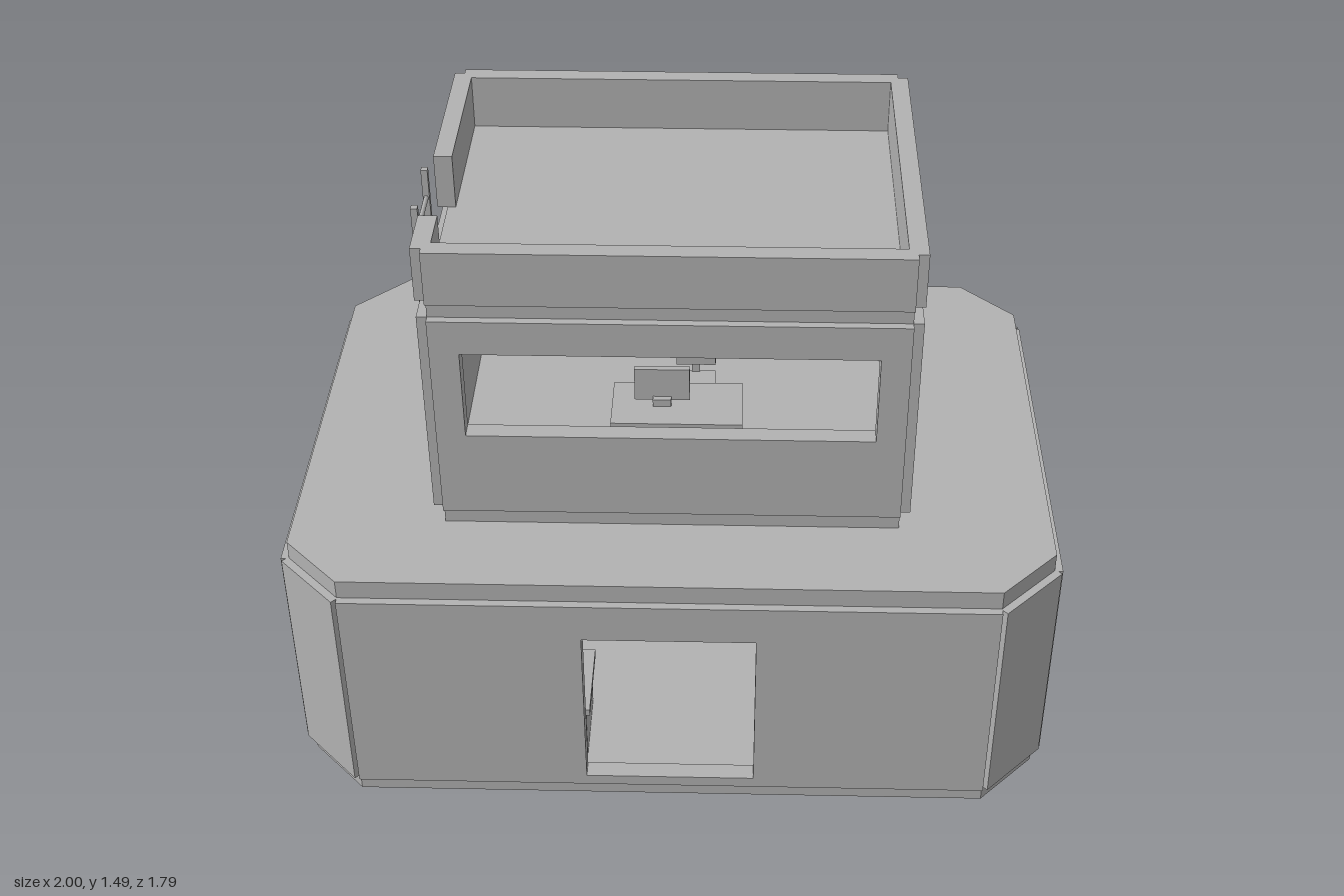
import * as THREE from 'three';

export function createModel() {
  const model = new THREE.Group();
  const concrete = new THREE.MeshStandardMaterial({ color: 0xb2b2b2 });
  concrete.name = 'concrete grey';

  const add = (name, geo, parent = model) => {
    const m = new THREE.Mesh(geo, concrete);
    m.name = name;
    parent.add(m);
    return m;
  };
  const group = (name) => {
    const g = new THREE.Group();
    g.name = name;
    model.add(g);
    return g;
  };
  // Box given by its min and max along each axis
  const box = (name, x0, x1, y0, y1, z0, z1, parent) => {
    const m = add(name, new THREE.BoxGeometry(x1 - x0, y1 - y0, z1 - z0), parent);
    m.position.set((x0 + x1) / 2, (y0 + y1) / 2, (z0 + z1) / 2);
    return m;
  };
  // Round bar between two points
  const bar = (name, a, b, r, parent) => {
    const p = new THREE.Vector3(...a), q = new THREE.Vector3(...b);
    const m = add(name, new THREE.CylinderGeometry(r, r, p.distanceTo(q), 8), parent);
    m.position.copy(p).add(q).multiplyScalar(0.5);
    m.quaternion.setFromUnitVectors(new THREE.Vector3(0, 1, 0), q.sub(p).normalize());
  };
  // Wall panel: outer face centred on (x, z) and turned by angle; hole = [u0, u1, y0, y1]
  const T = 0.045;
  const wall = (name, len, y0, y1, x, z, angle, hole) => {
    const rect = (P, a, b, c, d) => {
      const s = new P();
      s.moveTo(a, c); s.lineTo(b, c); s.lineTo(b, d); s.lineTo(a, d); s.closePath();
      return s;
    };
    const shape = rect(THREE.Shape, -len / 2, len / 2, y0, y1);
    if (hole) shape.holes.push(rect(THREE.Path, ...hole));
    const geo = new THREE.ExtrudeGeometry(shape, { depth: T, bevelEnabled: false });
    geo.translate(0, 0, -T);
    const m = add(name, geo);
    m.position.set(x, 0, z);
    m.rotation.y = angle;
  };
  const cx = -0.05, cz = 0.2175, H = Math.PI / 2;

  // Octagonal floor and roof slabs of the lower storey
  const hx = 0.93, hz = 0.6525, c = 0.14;
  const octagon = new THREE.Shape([
    [-hx + c, -hz], [hx - c, -hz], [hx, -hz + c], [hx, hz - c],
    [hx - c, hz], [-hx + c, hz], [-hx, hz - c], [-hx, -hz + c],
  ].map(([x, z]) => new THREE.Vector2(x, z)));
  for (const [name, y] of [['lowerFloor', 0], ['lowerRoof', 0.65]]) {
    const geo = new THREE.ExtrudeGeometry(octagon, { depth: 0.05, bevelEnabled: false });
    geo.rotateX(-H);
    add(name, geo).position.set(cx, y, cz);
  }

  // Lower walls with doors front and back, long windows on the sides
  const lowDoor = [-0.21, 0.21, 0.08, 0.545], lowWindow = [-0.44, 0.44, 0.28, 0.515];
  wall('lowerFrontWall', 1.58, 0.05, 0.65, cx, cz + hz + 0.02, 0, lowDoor);
  wall('lowerBackWall', 1.58, 0.05, 0.65, cx, cz - hz - 0.02, Math.PI, lowDoor);
  wall('lowerLeftWall', 1.03, 0.05, 0.65, cx + hx + 0.02, cz, H, lowWindow);
  wall('lowerRightWall', 1.03, 0.05, 0.65, cx - hx - 0.02, cz, -H, lowWindow);
  for (const sx of [-1, 1]) for (const sz of [-1, 1]) {
    const out = 0.02 * Math.SQRT1_2;
    wall('cornerWall', 0.205, 0.05, 0.65,
      cx + sx * (hx - c / 2 + out), cz + sz * (hz - c / 2 + out), Math.atan2(sx, sz));
  }

  // Inner partition with a doorway
  for (const [z0, z1] of [[-0.41, 0.01], [0.43, 0.845]])
    box('partition', -0.65, -0.6, 0.05, 0.65, z0, z1);
  box('partitionLintel', -0.65, -0.6, 0.545, 0.65, 0.01, 0.43);

  // Upper storey: recessed slabs and panelled walls
  const ux = 0.555, uz = 0.42, uc = 0.22;
  box('upperFloor', cx - ux, cx + ux, 0.7, 0.75, uc - uz, uc + uz);
  box('upperRoof', cx - ux, cx + ux, 1.305, 1.35, uc - uz, uc + uz);
  const fz = uc + uz + 0.02, bz = uc - uz - 0.02, rx = cx + ux + 0.025, lx = cx - ux - 0.025;
  wall('upperFrontWall', 1.11, 0.75, 1.305, cx, fz, 0, [-0.485, 0.485, 0.98, 1.215]);
  wall('upperBackWall', 1.11, 0.75, 1.305, cx, bz, Math.PI, [-0.21, 0.21, 0.78, 1.245]);
  wall('upperLeftWall', 0.84, 0.75, 1.305, rx, uc, H);
  wall('upperRightWall', 0.84, 0.75, 1.305, lx, uc, -H, [-0.36, 0.36, 0.98, 1.215]);

  // Roof parapet, open where the ladder arrives
  wall('frontParapet', 1.11, 1.35, 1.49, cx, fz, 0);
  wall('backParapet', 1.11, 1.35, 1.49, cx, bz, Math.PI);
  wall('leftParapet', 0.84, 1.35, 1.49, rx, uc, H);
  wall('rightParapet', 0.43, 1.35, 1.49, lx, 0.015, -H);
  wall('rightParapet', 0.14, 1.35, 1.49, lx, 0.57, -H);

  // Ladder
  const ladder = group('ladder');
  for (const z of [0.28, 0.455]) box('ladderRail', -0.653, -0.637, 0.7, 1.485, z - 0.008, z + 0.008, ladder);
  for (let i = 0; i < 11; i++) bar('rung', [-0.645, 0.77 + i * 0.064, 0.28], [-0.645, 0.77 + i * 0.064, 0.455], 0.006, ladder);

  // Landing and its posts
  box('landing', -0.36, -0.03, 0.65, 0.7, -0.9, -0.43);
  for (const x of [-0.05, -0.335]) box('landingPost', x - 0.018, x + 0.018, 0, 0.65, -0.885, -0.85);

  // Solid stair
  const stair = group('stair'), N = 15, run = 1.02 / N, rise = 0.7 / N;
  const profile = new THREE.Shape();
  profile.moveTo(-0.03, 0);
  profile.lineTo(0.99, 0);
  for (let i = 0; i < N; i++) {
    profile.lineTo(0.99 - i * run, (i + 1) * rise);
    profile.lineTo(0.99 - (i + 1) * run, (i + 1) * rise);
  }
  profile.closePath();
  add('steps', new THREE.ExtrudeGeometry(profile, { depth: 0.37, bevelEnabled: false }), stair).position.z = -0.875;

  // Handrails on both sides
  for (const z of [-0.497, -0.885]) {
    bar('handrail', [0.99, 0.17, z], [-0.03, 0.87, z], 0.007, stair);
    for (let i = 0; i < 5; i++) {
      const x = 0.99 - i * 0.253, y = 0.17 + (0.99 - x) * 0.686;
      bar('railPost', [x, Math.max(0, y - 0.19), z], [x, y, z], 0.006, stair);
    }
  }

  // Furniture: desks, chairs, screen and drawer cabinets
  const desk = (x0, x1, y, h, z0, z1) => {
    const g = group('desk');
    box('deskTop', x0, x1, y + h - 0.02, y + h, z0, z1, g);
    for (const x of [x0 + 0.01, x1 - 0.03]) box('deskSide', x, x + 0.02, y, y + h - 0.02, z0 + 0.01, z1 - 0.01, g);
  };
  const chair = (x, y, z) => {
    const g = group('chair');
    box('seat', x - 0.05, x + 0.05, y + 0.12, y + 0.135, z - 0.05, z + 0.05, g);
    box('chairBack', x - 0.05, x + 0.05, y + 0.16, y + 0.27, z - 0.055, z - 0.04, g);
    bar('chairStem', [x, y, z], [x, y + 0.12, z], 0.01, g);
    box('chairSpine', x - 0.01, x + 0.01, y + 0.12, y + 0.2, z - 0.055, z - 0.045, g);
  };
  const cabinet = (x0, x1, y, h, z0, z1) => {
    const g = group('cabinet'), w = (x1 - x0) / 2;
    box('cabinetBody', x0, x1, y, y + h, z0, z1, g);
    for (let i = 0; i < 2; i++) for (let j = 0; j < 4; j++) {
      const x = x0 + i * w, v = y + j * h / 4;
      box('drawerFront', x + 0.008, x + w - 0.008, v + 0.008, v + h / 4 - 0.008, z1, z1 + 0.008, g);
      box('drawerHandle', x + w / 2 - 0.02, x + w / 2 + 0.02, v + h / 8, v + h / 8 + 0.008, z1 + 0.008, z1 + 0.016, g);
    }
  };
  desk(-0.52, -0.255, 0.05, 0.17, 0.58, 0.8);
  chair(-0.4, 0.05, 0.51);
  desk(-0.9, -0.7, 0.05, 0.25, 0.4, 0.62);
  cabinet(0.3, 0.58, 0.05, 0.38, -0.4, -0.29);
  desk(-0.2, 0.12, 0.75, 0.19, 0.38, 0.55);
  chair(0.0, 0.75, 0.3);
  box('screen', -0.145, -0.01, 0.95, 1.04, 0.45, 0.465);
  box('screenStand', -0.1, -0.055, 0.94, 0.96, 0.43, 0.48);
  box('sideCabinet', 0.335, 0.48, 0.75, 1.045, -0.17, -0.02);

  return model;
}
